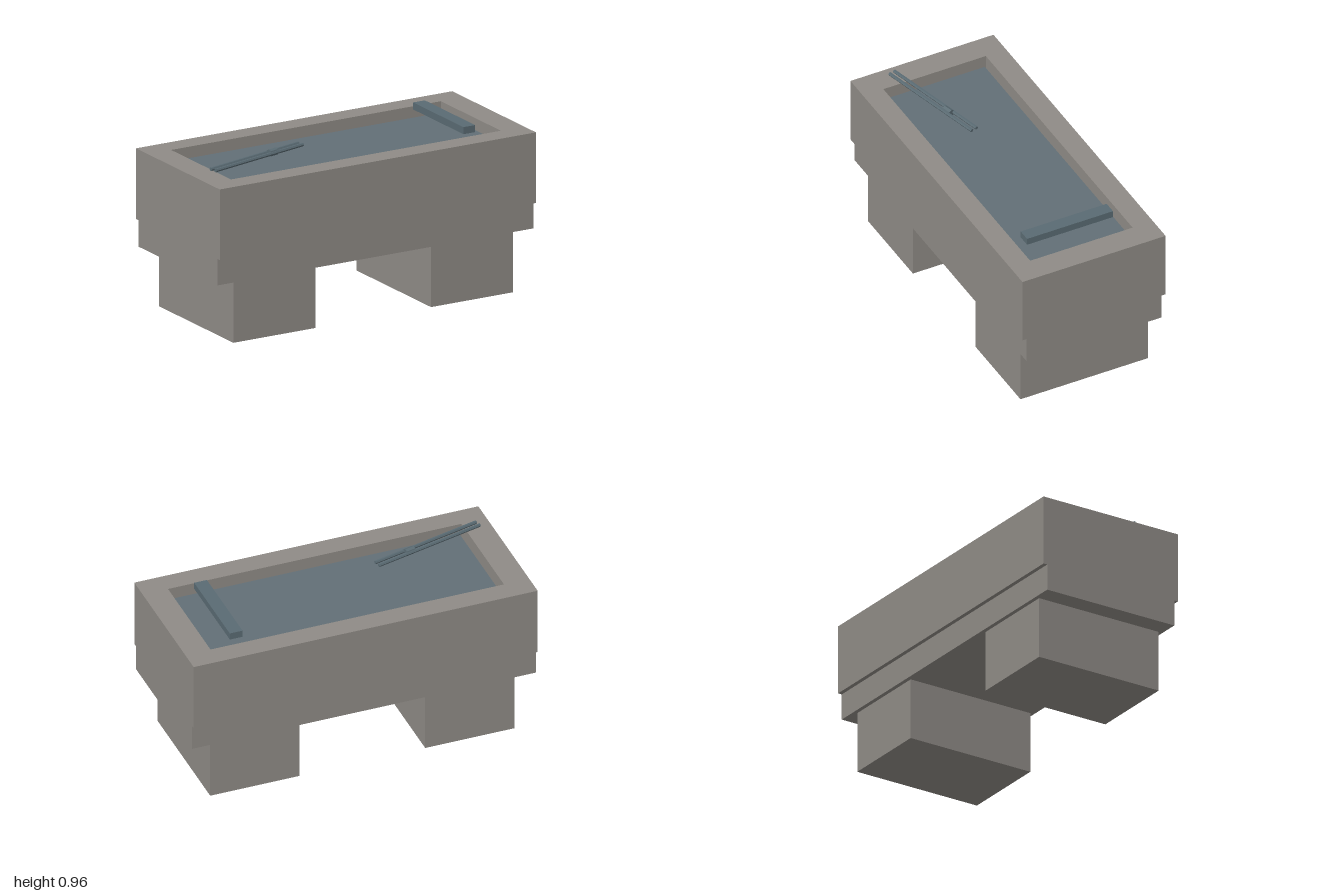
import * as THREE from 'three';

const flat = (name, color) => {
  const m = new THREE.MeshStandardMaterial({ color });
  m.name = name;
  return m;
};

export function createModel() {
  const stone = flat('stone', 0x8f8b86);
  const water = flat('water', 0x626f76);
  const steel = flat('steel', 0x5a6b73);
  const group = new THREE.Group();
  group.name = 'stoneTrough';

  const add = (name, geometry, material, x = 0, y = 0, z = 0, parent = group) => {
    const mesh = new THREE.Mesh(geometry, material);
    mesh.name = name;
    mesh.position.set(x, y, z);
    parent.add(mesh);
    return mesh;
  };
  const box = (name, material, w, y0, y1, d, x = 0) =>
    add(name, new THREE.BoxGeometry(w, y1 - y0, d), material, x, (y0 + y1) / 2, 0);

  // two block feet and the stepped base, whose top is the basin floor
  for (const side of [-1, 1]) {
    box(side > 0 ? 'leftFoot' : 'rightFoot', stone, 0.52, 0, 0.35, 0.778, side * 0.625);
  }
  box('base', stone, 2, 0.35, 0.5, 0.826);

  // basin walls with a rectangular opening
  const rect = (Type, w, d) => new Type([
    new THREE.Vector2(-w, -d), new THREE.Vector2(w, -d),
    new THREE.Vector2(w, d), new THREE.Vector2(-w, d),
  ]);
  const outline = rect(THREE.Shape, 1, 0.437);
  outline.holes.push(rect(THREE.Path, 0.853, 0.313));
  const walls = new THREE.ExtrudeGeometry(outline, { depth: 0.4, bevelEnabled: false });
  walls.rotateX(-Math.PI / 2);
  add('basinWalls', walls, stone, 0, 0.5, 0);

  // water filling the basin, and the bar near its left end
  box('water', water, 1.68, 0.5, 0.84, 0.6);
  box('crossBar', steel, 0.074, 0.9, 0.94, 0.525, 0.684);

  // tongs: two parallel rods held by a short collar
  const tongs = new THREE.Group();
  tongs.name = 'tongs';
  tongs.position.set(-0.59, 0.941, 0.147);
  tongs.rotation.y = 0.243;
  group.add(tongs);
  const rod = (name, radius, length, sides, x, z) => {
    const g = new THREE.CylinderGeometry(radius, radius, length, sides).toNonIndexed();
    g.computeVertexNormals();
    g.rotateZ(Math.PI / 2);
    add(name, g, steel, x, 0, z, tongs);
  };
  rod('backRod', 0.01, 0.67, 6, 0, -0.017);
  rod('frontRod', 0.01, 0.67, 6, 0, 0.017);
  rod('collar', 0.021, 0.055, 8, 0.12, 0);

  return group;
}
